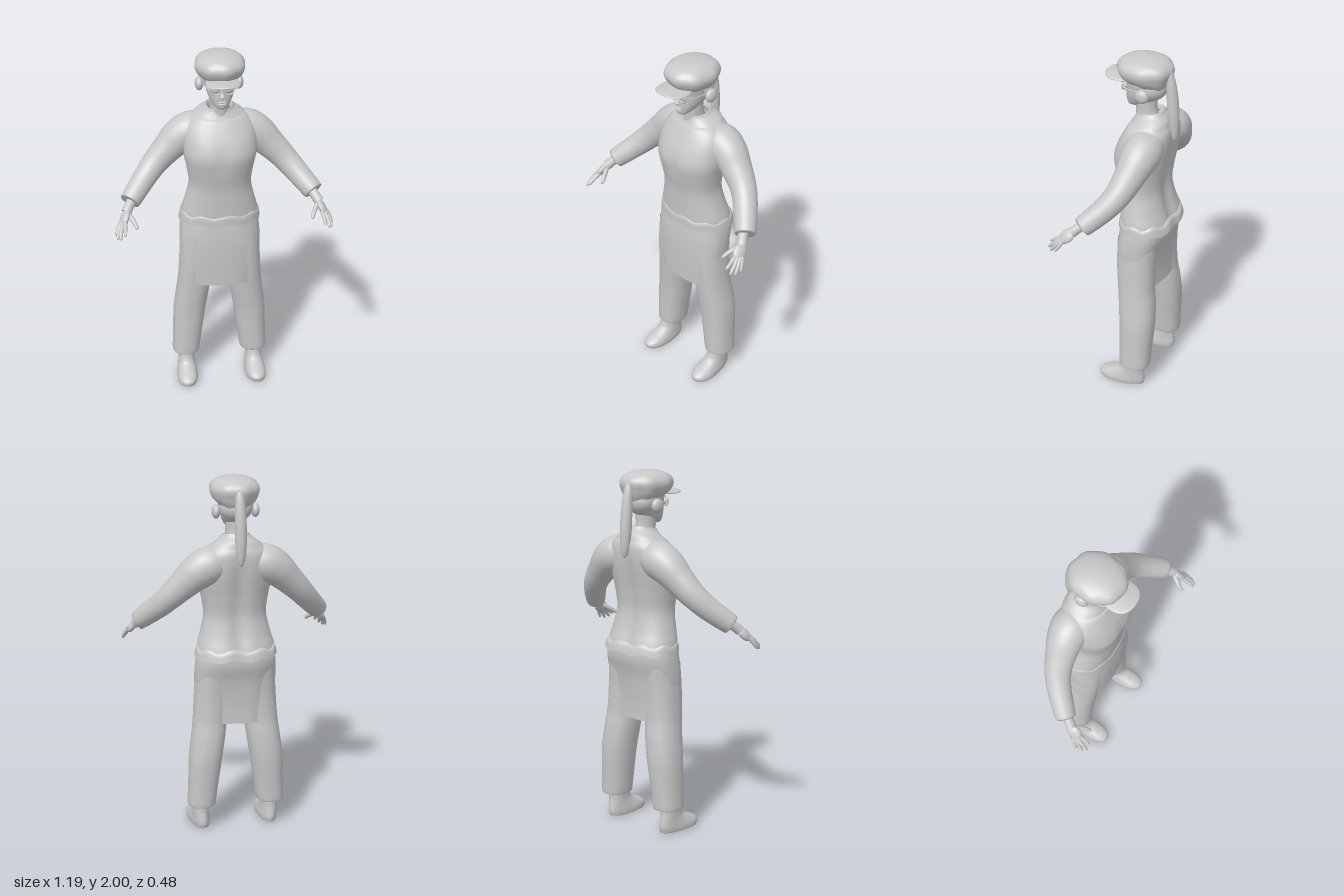
import * as THREE from 'three';

const fabric = new THREE.MeshStandardMaterial({ color: 0xc8c8c8, side: THREE.DoubleSide });
fabric.name = 'light grey';

// Smoothly subdivides rows of numbers (Catmull-Rom on every column)
function dense(rows, n) {
  const out = [];
  const at = (i) => rows[Math.min(Math.max(i, 0), rows.length - 1)];
  for (let i = 0; i < rows.length - 1; i++) {
    for (let k = 0; k < n; k++) {
      const t = k / n;
      out.push(rows[i].map((b, c) => {
        const a = at(i - 1)[c], d = at(i + 1)[c], e = at(i + 2)[c];
        return b + 0.5 * t * (d - a + t * (2 * a - 5 * b + 4 * d - e + t * (3 * (b - d) + e - a)));
      }));
    }
  }
  out.push(rows[rows.length - 1]);
  return out;
}

// Joins closed rings of points into a smooth skin
function skin(rings) {
  const m = rings[0].length, index = [];
  for (let i = 0; i < rings.length - 1; i++) {
    for (let j = 0; j < m; j++) {
      const a = i * m + j, b = i * m + (j + 1) % m;
      index.push(a, b, a + m, b, b + m, a + m);
    }
  }
  const g = new THREE.BufferGeometry().setFromPoints(rings.flat());
  g.setIndex(index);
  g.computeVertexNormals();
  return g;
}

// Upright form from rows of [y, centre x, half width, front z, back z], squareness p
function upright(rows, p = 2, rule = null, seg = 48) {
  return skin(dense(rows, 5).map(([y, cx, rx, zf, zb]) => {
    const ring = [];
    for (let j = 0; j < seg; j++) {
      const a = (j / seg) * Math.PI * 2, s = Math.sin(a), c = Math.cos(a);
      const v = new THREE.Vector3(
        cx + Math.max(rx, 0) * Math.sign(s) * Math.abs(s) ** (2 / p), y,
        (zf + zb) / 2 + (zf - zb) / 2 * Math.sign(c) * Math.abs(c) ** (2 / p));
      if (rule) rule(v, c, a, cx);
      ring.push(v);
    }
    return ring;
  }));
}

// Limb along rows of [x, y, z, radius]
function limb(rows, seg = 20) {
  const d = dense(rows, 5);
  const pts = d.map((r) => new THREE.Vector3(r[0], r[1], r[2]));
  const side = new THREE.Vector3(), up = new THREE.Vector3();
  return skin(pts.map((p, i) => {
    const t = pts[Math.min(i + 1, pts.length - 1)].clone().sub(pts[Math.max(i - 1, 0)]).normalize();
    side.set(0.83, 0.1, -0.55).cross(t).normalize();
    if (Math.abs(t.y) > 0.9) side.set(0, 0, 1).cross(t).normalize();
    up.crossVectors(t, side);
    const ring = [];
    for (let j = 0; j < seg; j++) {
      const a = (j / seg) * Math.PI * 2, r = Math.max(d[i][3], 0);
      ring.push(p.clone().addScaledVector(side, r * Math.cos(a)).addScaledVector(up, r * Math.sin(a)));
    }
    return ring;
  }));
}

function add(parent, name, geometry, pos = [0, 0, 0], scale = [1, 1, 1]) {
  const mesh = new THREE.Mesh(geometry, fabric);
  mesh.name = name;
  mesh.position.set(...pos);
  mesh.scale.set(...scale);
  parent.add(mesh);
  return mesh;
}
const ball = (r) => new THREE.SphereGeometry(r, 28, 18);

function createModel() {
  const g = new THREE.Group();
  g.name = 'figure';

  // Sweater with bust, spine groove and lowered front neckline
  add(g, 'sweater', upright([
    [1.05, 0, 0.217, 0.064, -0.222], [1.09, 0, 0.21, 0.065, -0.21], [1.15, 0, 0.193, 0.068, -0.192],
    [1.25, 0, 0.172, 0.075, -0.176], [1.35, 0, 0.184, 0.096, -0.186], [1.43, 0, 0.2, 0.108, -0.2],
    [1.5, 0, 0.203, 0.09, -0.212], [1.56, 0, 0.198, 0.062, -0.216], [1.61, 0, 0.172, 0.035, -0.212],
    [1.65, 0, 0.125, 0.012, -0.19], [1.68, 0, 0.083, 0.0, -0.16], [1.695, 0, 0.07, -0.005, -0.148],
    [1.67, 0, 0.06, -0.012, -0.138],
  ], 2.25, (v, c) => {
    if (c < 0) v.z += 0.02 * Math.exp(-((v.x / 0.045) ** 2)) * Math.min(1, (1.7 - v.y) * 5);
    else v.z -= 0.008 * Math.exp(-((v.x / 0.04) ** 2) - ((v.y - 1.43) / 0.07) ** 2);
    if (v.y > 1.64) v.y -= 0.012 * c;
  }, 64));

  // Wavy hem
  add(g, 'hem', upright([
    [1.075, 0, 0.21, 0.064, -0.212], [1.06, 0, 0.221, 0.07, -0.228], [1.02, 0, 0.227, 0.07, -0.238],
  ], 2.25, (v, c, a) => {
    v.y += 0.007 * Math.sin(a * 9);
    if (c < 0) v.z += 0.012 * Math.exp(-((v.x / 0.045) ** 2));
  }, 72));

  // Apron skirt around the hips
  add(g, 'skirt', upright([
    [0.64, 0, 0.2, 0.062, -0.168], [0.75, 0, 0.218, 0.066, -0.17], [0.88, 0, 0.226, 0.068, -0.185],
    [0.98, 0, 0.222, 0.063, -0.21], [1.06, 0, 0.21, 0.055, -0.21],
  ], 2.5, (v, c, a) => {
    if (c < 0) v.z += 0.006 * Math.sin(a * 5) * Math.min(1, (1.06 - v.y) * 4);
  }));

  // Head with chin and neck
  add(g, 'neck', upright([
    [1.64, 0, 0.056, 0.005, -0.13], [1.7, 0, 0.05, 0.008, -0.11], [1.78, 0, 0.052, 0.01, -0.11],
  ]));
  add(g, 'head', upright([
    [1.708, 0, 0, 0.035, 0.02], [1.711, 0, 0.024, 0.05, -0.005], [1.728, 0, 0.043, 0.058, -0.05],
    [1.755, 0, 0.06, 0.06, -0.1], [1.785, 0, 0.072, 0.06, -0.135], [1.825, 0, 0.079, 0.058, -0.15],
    [1.87, 0, 0.084, 0.064, -0.155], [1.92, 0, 0.08, 0.06, -0.15],
  ], 2.2));
  add(g, 'nose', upright([
    [1.774, 0, 0.004, 0.064, 0.045], [1.78, 0, 0.018, 0.078, 0.04], [1.788, 0, 0.016, 0.083, 0.04],
    [1.81, 0, 0.009, 0.07, 0.04], [1.835, 0, 0.009, 0.062, 0.04],
  ], 2, null, 20));
  for (const y of [1.753, 1.743]) add(g, 'lip', ball(1), [0, y, 0.058], [0.022, 0.006, 0.011]);
  add(g, 'hair', ball(1), [0, 1.835, -0.085], [0.09, 0.075, 0.082]);

  // Cap with puffy crown, thin visor and back button
  add(g, 'capCrown', upright([
    [1.855, 0, 0.084, 0.055, -0.155], [1.868, 0, 0.1, 0.07, -0.168], [1.89, 0, 0.122, 0.092, -0.183],
    [1.925, 0, 0.134, 0.108, -0.194], [1.955, 0, 0.126, 0.1, -0.186], [1.98, 0, 0.098, 0.068, -0.155],
    [1.995, 0, 0.05, 0.015, -0.1], [2.0, 0, 0, -0.042, -0.042],
  ], 2.1, (v, c, a) => {
    if (v.y < 1.97) v.addScaledVector(new THREE.Vector3(Math.sin(a), 0, c), 0.0025 * Math.sin(a * 8));
    if (v.y < 1.9 && c < 0) v.y += 0.03 * c * (1.9 - v.y) / 0.045;
  }, 64));
  add(g, 'visor', upright([
    [1.872, 0, 0.078, 0.165, 0.01], [1.875, 0, 0.09, 0.177, 0.0], [1.88, 0, 0.09, 0.177, 0.0],
    [1.884, 0, 0.078, 0.165, 0.01], [1.886, 0, 0, 0.09, 0.09],
  ], 2.4, (v) => { v.y -= 1.3 * v.x * v.x; }));
  // Ponytail
  add(g, 'ponytail', limb([
    [0, 1.945, -0.15, 0], [0, 1.94, -0.165, 0.022], [0, 1.88, -0.187, 0.026], [0, 1.78, -0.2, 0.031],
    [0, 1.68, -0.207, 0.031], [0, 1.6, -0.212, 0.024], [0, 1.555, -0.215, 0.013], [0, 1.54, -0.216, 0],
  ]));

  // Everything that exists on both sides, built for +x and mirrored
  const half = new THREE.Group();
  half.name = 'leftSide';
  add(half, 'glassesRim', new THREE.TorusGeometry(0.026, 0.004, 8, 28), [0.034, 1.824, 0.064]);
  add(half, 'eye', ball(1), [0.034, 1.824, 0.052], [0.023, 0.021, 0.014]);
  add(half, 'glassesTemple', limb([[0.06, 1.828, 0.06, 0.003], [0.08, 1.828, 0.03, 0.003], [0.092, 1.825, -0.06, 0.003]], 8));
  add(half, 'earCover', ball(1), [0.107, 1.815, -0.075], [0.023, 0.038, 0.038]);

  add(half, 'sleeve', limb([
    [0.08, 1.545, -0.11, 0.085], [0.15, 1.535, -0.112, 0.103], [0.215, 1.5, -0.108, 0.098], [0.28, 1.44, -0.095, 0.083],
    [0.355, 1.365, -0.07, 0.071], [0.42, 1.295, -0.022, 0.064], [0.5, 1.212, 0.062, 0.056], [0.49, 1.222, 0.052, 0.047],
  ], 32));
  // Hand: wrist, palm and spread fingers
  add(half, 'wrist', limb([
    [0.475, 1.235, 0.04, 0.028], [0.508, 1.195, 0.09, 0.027], [0.525, 1.17, 0.115, 0.028],
  ]));
  const palm = add(half, 'palm', ball(1), [0.537, 1.148, 0.14], [0.037, 0.02, 0.05]);
  palm.lookAt(0.572, 1.075, 0.225);
  palm.rotateZ(-0.75);
  const fingers = [
    ['thumb', [0.517, 1.165, 0.125], [0.488, 1.135, 0.172], [0.473, 1.11, 0.205], 0.012],
    ['indexFinger', [0.533, 1.14, 0.16], [0.538, 1.115, 0.203], [0.54, 1.09, 0.242], 0.0105],
    ['middleFinger', [0.547, 1.133, 0.163], [0.56, 1.1, 0.204], [0.565, 1.068, 0.24], 0.0105],
    ['ringFinger', [0.556, 1.13, 0.156], [0.573, 1.095, 0.19], [0.58, 1.06, 0.218], 0.01],
    ['littleFinger', [0.561, 1.132, 0.145], [0.579, 1.1, 0.166], [0.588, 1.068, 0.185], 0.009],
  ];
  for (const [name, a, b, c, r] of fingers) {
    const near = c.map((v, i) => v + (b[i] - v) * 0.18);
    add(half, name, limb([[...a, r * 1.2], [...b, r], [...near, r * 0.75], [...c, 0]], 12));
  }

  add(half, 'trouserLeg', upright([
    [0.17, 0.198, 0.068, -0.005, -0.16], [0.148, 0.198, 0.078, 0.006, -0.17], [0.25, 0.189, 0.083, 0.01, -0.176],
    [0.42, 0.174, 0.092, 0.016, -0.186], [0.55, 0.156, 0.094, 0.028, -0.18], [0.65, 0.144, 0.094, 0.038, -0.168],
    [0.8, 0.13, 0.098, 0.05, -0.168], [0.95, 0.12, 0.098, 0.05, -0.18],
  ], 2.25));
  add(half, 'foot', upright([
    [0, 0.2, 0, 0, 0], [0.001, 0.2, 0.05, 0.115, -0.12], [0.015, 0.2, 0.058, 0.135, -0.138],
    [0.035, 0.2, 0.058, 0.135, -0.142], [0.055, 0.2, 0.054, 0.108, -0.14], [0.08, 0.2, 0.049, 0.05, -0.135],
    [0.11, 0.2, 0.046, 0.012, -0.13], [0.19, 0.2, 0.046, -0.01, -0.128],
  ], 2.2, (v, c, a, cx) => {
    // Narrow heel, broad toes turned slightly out
    const low = Math.max(0, 1 - v.y / 0.1);
    v.x = cx + (v.x - cx) * (1 + 0.16 * low * Math.sin(v.z * 11)) + 0.04 * low * v.z;
  }));

  const mirrored = half.clone();
  mirrored.name = 'rightSide';
  mirrored.scale.x = -1;
  g.add(half, mirrored);
  return g;
}

export { createModel };
